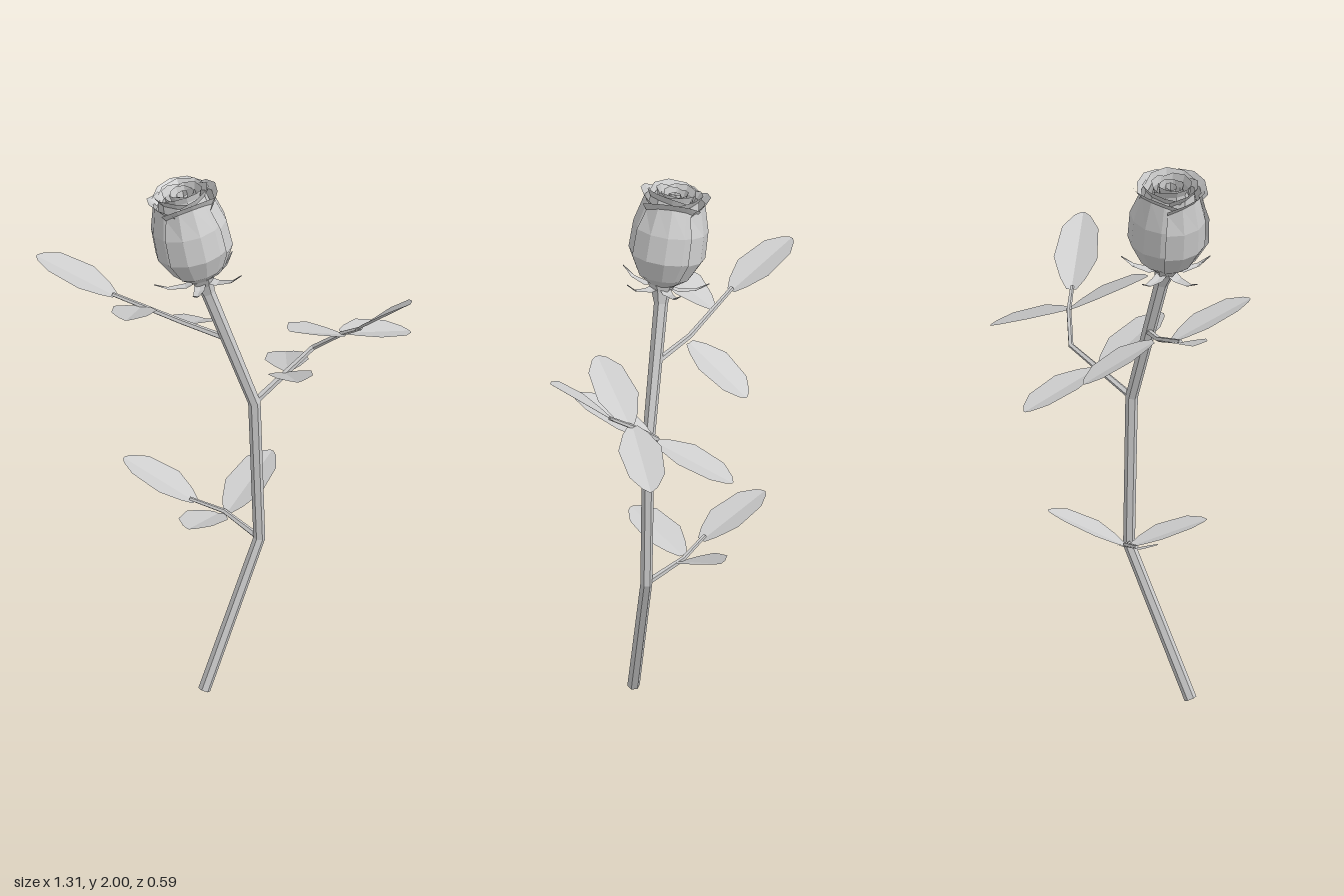
import * as THREE from 'three';

const material = new THREE.MeshStandardMaterial({ color: 0xcccccc, flatShading: true, side: THREE.DoubleSide });
const V = (x, y, z) => new THREE.Vector3(x, y, z);

// Skin joining equal-length rows of points
function skin(name, rows) {
  const n = rows[0].length, index = [];
  for (let i = 0; i < rows.length - 1; i++) {
    for (let j = 0; j < n - 1; j++) {
      const a = i * n + j, b = a + 1, c = a + n, d = c + 1;
      index.push(a, b, d, a, d, c);
    }
  }
  const geometry = new THREE.BufferGeometry().setFromPoints(rows.flat());
  geometry.setIndex(index);
  geometry.computeVertexNormals();
  const mesh = new THREE.Mesh(geometry, material);
  mesh.name = name;
  return mesh;
}

// Mitred, capped stalk through [x, y, z, radius] stations
function stalk(name, stations, sides = 6) {
  const pts = stations.map(s => V(s[0], s[1], s[2]));
  const rows = pts.map((p, i) => {
    const before = p.clone().sub(pts[Math.max(i - 1, 0)]).normalize();
    const after = pts[Math.min(i + 1, pts.length - 1)].clone().sub(p).normalize();
    const t = before.add(after).normalize();
    const u = V(0, 0, 1).cross(t).normalize(), w = t.clone().cross(u);
    return Array.from({ length: sides + 1 }, (_, k) => {
      const a = -k / sides * Math.PI * 2, r = stations[i][3];
      return p.clone().addScaledVector(u, r * Math.cos(a)).addScaledVector(w, r * Math.sin(a));
    });
  });
  rows.unshift(rows[0].map(() => pts[0]));
  rows.push(rows[0].map(() => pts[pts.length - 1]));
  return skin(name, rows);
}

// Leaf folded along its midrib: [position along leaf, half width]
const LEAF = [[0, 0.018], [0.13, 0.045], [0.38, 0.077], [0.78, 0.064], [0.95, 0.028], [1, 0.006]];
function leaf(base, tip) {
  const a = V(...base), b = V(...tip);
  const dir = b.clone().sub(a).normalize();
  const side = dir.clone().cross(V(0, 1, 0)).normalize(), up = side.clone().cross(dir);
  return skin('leaf', LEAF.map(([t, w]) => [-1, 0, 1].map(s =>
    a.clone().lerp(b, t).addScaledVector(side, -s * w).addScaledVector(up, Math.abs(s) * w * 0.2 - 0.006))));
}

// Petal: an arc of the bud, ending in a rolled-out lip
const BUD = [[0.035, 0], [0.095, 0.045], [0.137, 0.125], [0.134, 0.225], [0.108, 0.325], [0.126, 0.35]];
function petal(start, span, scale, height) {
  return skin('petal', BUD.map(([r, y], i) => Array.from({ length: 5 }, (_, k) => {
    const u = k / 4, a = start + span * u;
    const lip = i === BUD.length - 1 ? 0.018 * (1 - scale) : 0;
    const R = (r - lip * 0.3) * scale * (0.94 + 0.1 * u);
    const droop = i > 3 ? 0.028 * Math.pow(2 * u - 1, 2) * scale : 0;
    return V(R * Math.cos(a), y * height - droop, R * Math.sin(a));
  })));
}

// Narrow sepal curling outward from under the bud
const SEPAL = [[0.02, 0, 0.02], [0.06, -0.012, 0.02], [0.12, -0.004, 0.011], [0.165, 0.025, 0.001]];
function sepal(angle) {
  const mesh = skin('sepal', SEPAL.map(([x, y, w]) => [V(x, y, w), V(x, y - 0.004, 0), V(x, y, -w)]));
  mesh.rotation.y = -angle;
  return mesh;
}

export function createModel() {
  const model = new THREE.Group();
  model.name = 'rose';

  // Main stem, flaring into the bud
  model.add(stalk('stem', [
    [-0.075, 0.005, 0.2, 0.022], [0.12, 0.545, 0.07, 0.021], [0.103, 1.1, 0.07, 0.022],
    [-0.06, 1.57, 0.09, 0.025], [-0.073, 1.61, 0.094, 0.035], [-0.085, 1.645, 0.096, 0.055],
  ]));

  // Leaf branches: stalk stations, then leaf base and tip pairs
  const branches = [
    {
      name: 'lowerBranch',
      path: [[0.12, 0.545, 0.07, 0.012], [0, 0.6, -0.02, 0.009], [-0.12, 0.635, -0.05, 0.007]],
      leaves: [
        [[-0.1, 0.63, -0.045], [-0.345, 0.73, -0.18]],
        [[0.01, 0.6, -0.02], [0.17, 0.72, -0.23]],
        [[-0.02, 0.605, -0.01], [-0.13, 0.69, 0.23]],
      ],
    },
    {
      name: 'leftwardBranch',
      path: [[0.01, 1.37, 0.08, 0.012], [-0.15, 1.405, 0.02, 0.01], [-0.39, 1.485, -0.04, 0.008]],
      leaves: [
        [[-0.38, 1.483, -0.04], [-0.65, 1.58, -0.155]],
        [[-0.29, 1.455, -0.01], [-0.35, 1.575, 0.27]],
        [[-0.13, 1.395, 0.01], [-0.06, 1.265, -0.235]],
      ],
    },
    {
      name: 'rightwardBranch',
      path: [[0.1, 1.1, 0.07, 0.013], [0.31, 1.25, -0.05, 0.01], [0.41, 1.34, 0.005, 0.009], [0.475, 1.395, 0.06, 0.007]],
      leaves: [
        [[0.22, 1.185, -0.01], [0.22, 1.085, -0.3]],
        [[0.21, 1.19, 0.01], [0.25, 1.325, 0.29]],
        [[0.41, 1.345, 0], [0.65, 1.245, -0.17]],
        [[0.41, 1.345, 0.01], [0.225, 1.485, 0.21]],
        [[0.465, 1.39, 0.05], [0.64, 1.59, 0.21]],
      ],
    },
  ];
  for (const { name, path, leaves } of branches) {
    const branch = new THREE.Group();
    branch.name = name;
    branch.add(stalk('stalk', path, 5));
    for (const [base, tip] of leaves) branch.add(leaf(base, tip));
    model.add(branch);
  }

  // Bud of nested petal rings, leaning with the stem
  const bud = new THREE.Group();
  bud.name = 'bud';
  const rings = [[4, 1, 1], [3, 0.8, 1.03], [3, 0.58, 1.03], [3, 0.37, 1.01], [2, 0.18, 0.99]];
  rings.forEach(([count, scale, height], ring) => {
    for (let k = 0; k < count; k++) {
      const step = Math.PI * 2 / count;
      bud.add(petal(k * step + ring * 0.9 + 0.3, step * 1.22, scale, height - 0.015 * (k % 2)));
    }
  });
  for (let k = 0; k < 5; k++) bud.add(sepal(0.48 + k * Math.PI * 0.4));
  bud.position.set(-0.083, 1.628, 0.096);
  bud.quaternion.setFromUnitVectors(V(0, 1, 0), V(-0.2, 1, -0.07).normalize());
  model.add(bud);

  return model;
}
